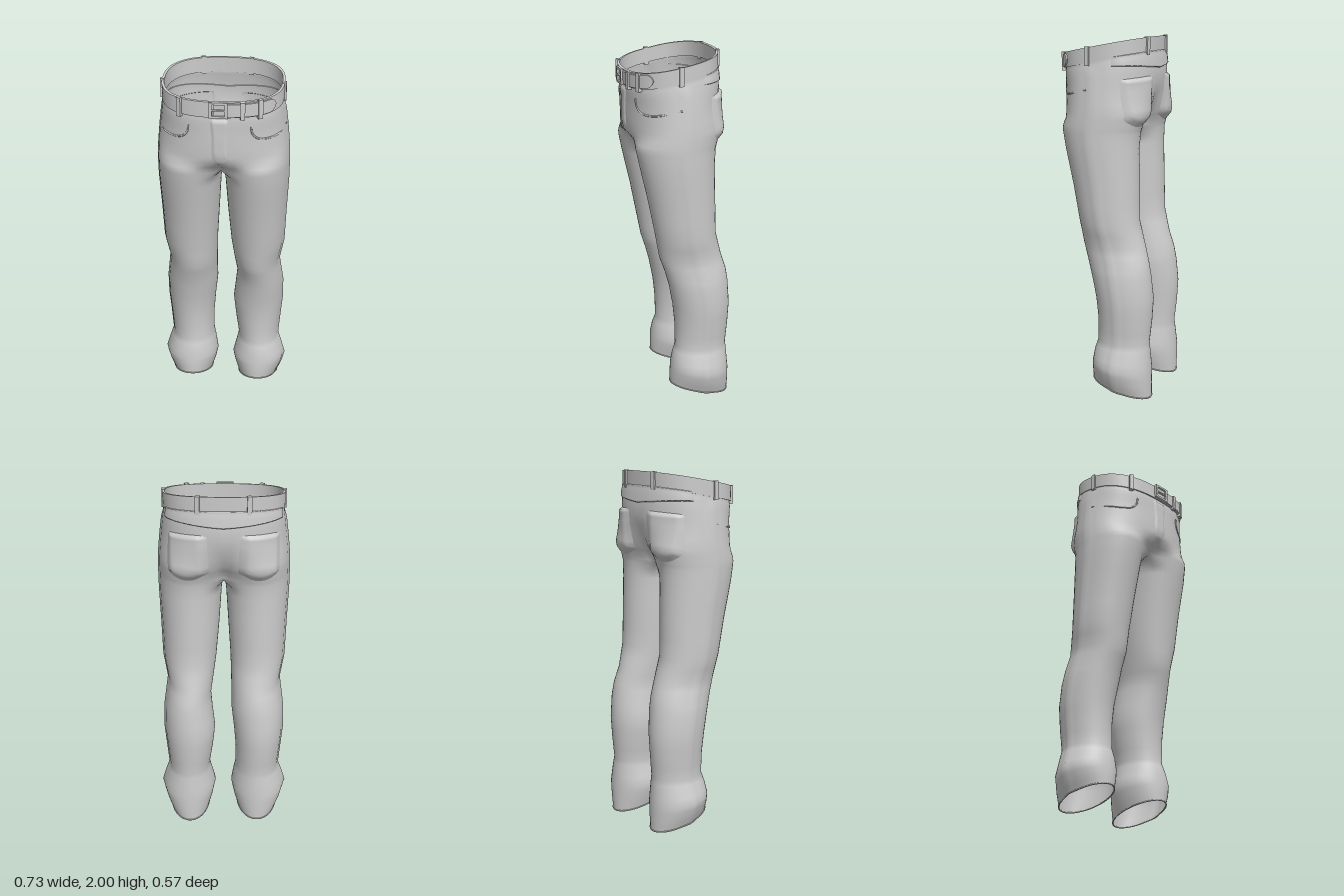
import * as THREE from 'three';
import { mergeGeometries, mergeVertices, toCreasedNormals } from 'three/addons/utils/BufferGeometryUtils.js';

const V = (x, y, z) => new THREE.Vector3(x, y, z);
const mat = new THREE.MeshStandardMaterial({ color: 0xcccccc, side: THREE.DoubleSide, roughness: 0.9 });
const sp = (v, e) => Math.sign(v) * Math.abs(v) ** e; // e < 1 squares an ellipse
const ramp = THREE.MathUtils.smoothstep;
const lerp = THREE.MathUtils.lerp;

const CROTCH = 1.49;
const A = 0.87; // angle where the outer arc meets the inner leg arc
// Cross-sections: y, inner x (left leg), inner x (right leg), outer x, front z, back z
const ROWS = [
  [1.95, 0, 0, 0.315, 0.26, -0.225],
  [1.865, 0, 0, 0.32, 0.26, -0.228],
  [1.84, 0, 0, 0.324, 0.262, -0.233],
  [1.78, 0, 0, 0.332, 0.262, -0.243],
  [1.7, 0, 0, 0.342, 0.263, -0.245],
  [1.6, 0, 0, 0.352, 0.262, -0.24],
  [1.53, 0, 0, 0.355, 0.252, -0.208],
  [CROTCH, 0, 0, 0.355, 0.243, -0.195],
  [1.4, 0.012, 0.012, 0.354, 0.225, -0.19],
  [1.2, 0.025, 0.025, 0.345, 0.18, -0.195],
  [1.0, 0.042, 0.038, 0.338, 0.142, -0.2],
  [0.87, 0.06, 0.042, 0.314, 0.12, -0.235],
  [0.78, 0.073, 0.045, 0.326, 0.09, -0.262],
  [0.7, 0.065, 0.045, 0.337, 0.068, -0.275],
  [0.57, 0.05, 0.06, 0.338, 0.042, -0.286],
  [0.45, 0.063, 0.07, 0.327, 0.03, -0.28],
  [0.32, 0.083, 0.07, 0.316, 0.03, -0.268],
  [0.26, 0.07, 0.058, 0.336, 0.048, -0.274],
  [0.18, 0.05, 0.046, 0.359, 0.058, -0.282],
  [0.11, 0.065, 0.06, 0.341, 0.062, -0.284],
  [0.045, 0.085, 0.08, 0.314, 0.062, -0.284],
];

function section(y) {
  let i = 0;
  while (i < ROWS.length - 2 && ROWS[i + 1][0] > y) i++;
  const k = (ROWS[i][0] - y) / (ROWS[i][0] - ROWS[i + 1][0]);
  return ROWS[i].map((v, c) => lerp(v, ROWS[i + 1][c], k));
}

// Cloth surface of one half: u 0..1 runs front - outside - back, 1..2 runs along the inner leg
function cloth(u, y, s) {
  const r = section(y);
  const xi = s > 0 ? r[1] : r[2], xo = r[3];
  const cx = (xi + xo) / 2, rx = (xo - xi) / 2, cz = (r[4] + r[5]) / 2, rz = (r[4] - r[5]) / 2;
  const outer = u <= 1;
  const t = Math.PI * u;
  const q = outer ? -A + (Math.PI + 2 * A) * u : Math.PI + A + (Math.PI - 2 * A) * (u - 1);
  let x = cx + rx * Math.sin(q), z = cz + rz * Math.cos(q), h = y;
  if (outer) {
    const w = 1 - ramp(y, CROTCH, 1.57 + 0.1 * (1 - Math.cos(t)));
    const e = lerp(0.9, 0.8, ramp(y, 1.7, 1.86));
    x = lerp(xo * sp(Math.sin(t), e), x, w);
    z = lerp(cz + rz * sp(Math.cos(t), e), z, w);
    const k = Math.max(0, 1 - Math.min(u, 1 - u) / 0.1);
    if (y >= CROTCH) x -= k * w * (cx - rx * Math.sin(A));
    x += 0.007 * Math.max(0, 1 - Math.abs(u - 0.5) / 0.03) * (1 - ramp(y, 1.8, 1.86)); // side seam ridge
  } else if (y >= CROTCH) {
    x = 0;
    h -= 0.02 * Math.sin(Math.PI * (u - 1));
  }
  const hem = 1 - ramp(y, 0.04, 0.3);
  h -= 0.19 * (z - 0.02) * ramp(y, 1.62, 1.86); // waist rises at the back
  h += (0.25 * (z + 0.11) + (s < 0 ? 0.012 : 0)) * hem; // hem drops at the back
  return V(s * x, h, z);
}

// Cloth followed right around the body: 0 front centre, 0.5 left, 1 back centre, 1.5 right
const around = (v, y) => (v < 0 ? cloth(-v, y, -1) : v > 1 ? cloth(2 - v, y, -1) : cloth(v, y, 1));

function grid(point, rows, cols, flip = false) {
  const pos = [], idx = [];
  for (let i = 0; i <= rows; i++) for (let j = 0; j <= cols; j++) pos.push(...point(i, j).toArray());
  for (let i = 0; i < rows; i++) for (let j = 0; j < cols; j++) {
    const a = i * (cols + 1) + j, b = a + cols + 1;
    idx.push(...(flip ? [a, b + 1, b, a, a + 1, b + 1] : [a, b, b + 1, a, b + 1, a + 1]));
  }
  const g = new THREE.BufferGeometry();
  g.setAttribute('position', new THREE.Float32BufferAttribute(pos, 3));
  g.setIndex(idx);
  return g;
}

// Raised cloth patch with soft edges; low(k) shapes its bottom edge
function patch(v0, v1, top, low, thick, softness) {
  const n = 20, e = 0.004;
  const g = grid((i, j) => {
    const v = lerp(v0, v1, j / n), y = lerp(top, low(j / n), i / n);
    const dv = around(v + e, y).sub(around(v - e, y));
    const dy = around(v, y - e).sub(around(v, y + e));
    const rise = Math.min(1, i, (n - i) / softness, j / softness, (n - j) / softness);
    return around(v, y).addScaledVector(dy.cross(dv).normalize(), lerp(-0.004, thick, rise));
  }, n, n);
  g.computeVertexNormals();
  return g;
}

const piping = (points, radius, closed = false) =>
  new THREE.TubeGeometry(new THREE.CatmullRomCurve3(points, closed), 60, radius, 6, closed);

// Waist outline and the belt strips that follow it
const waist = (t, y, off) => {
  const z = 0.0175 + (0.2425 + off) * sp(Math.cos(t), 0.8);
  return V((0.315 + off) * sp(Math.sin(t), 0.8), y - 0.19 * (z - 0.02), z);
};
function strip(t0, t1, half, inner, outer, n) {
  const g = grid((i, j) => {
    const k = j / n, h = half(k);
    const up = i % 4 === 0 || i === 3, out = i % 4 < 2;
    return waist(lerp(t0, t1, k), 1.91 + (up ? h : -h), out ? outer : inner);
  }, 4, n);
  return toCreasedNormals(g, 0.6);
}

export function createModel() {
  const model = new THREE.Group();
  const add = (name, geometry) => {
    const m = new THREE.Mesh(geometry, mat);
    m.name = name;
    model.add(m);
    return m;
  };

  // Trouser body: both halves welded along the centre seam
  const ys = [];
  ROWS.forEach((r, i) => {
    ys.push(r[0]);
    if (i < ROWS.length - 1) ys.push(lerp(r[0], ROWS[i + 1][0], 0.5));
  });
  const legYs = ys.filter((y) => y <= CROTCH);
  const parts = [];
  for (const s of [1, -1]) {
    parts.push(grid((i, j) => cloth(j / 32, ys[i], s), ys.length - 1, 32, s < 0));
    parts.push(grid((i, j) => cloth(j === 0 ? 1 : 1 + j / 12, legYs[i], s), legYs.length - 1, 12, s < 0));
  }
  const body = mergeVertices(mergeGeometries(parts), 1e-4);
  body.computeVertexNormals();
  add('trouserBody', body);

  // Fly panel with a rounded end, and the yoke fold dipping at the back centre
  add('flyPanel', patch(-0.035, 0.035, 1.86, (k) => 1.53 + 0.07 * (2 * k - 1) ** 2, 0.007, 5));
  add('backYoke', patch(0.6, 1.4, 1.88, (k) => 1.79 + 0.04 * Math.abs(2 * k - 1), 0.009, 1));

  // Broad, soft back pockets with blunt pointed bottoms
  const pocketLow = (k) => 1.52 + 0.05 * (2 * k - 1) ** 2;
  add('leftBackPocket', patch(0.67, 0.94, 1.765, pocketLow, 0.017, 4));
  add('rightBackPocket', patch(1.06, 1.33, 1.765, pocketLow, 0.017, 4));

  for (const s of [1, -1]) {
    const side = s > 0 ? 'left' : 'right';
    // Front pocket opening
    const opening = [[0.14, 1.81], [0.15, 1.76], [0.18, 1.72], [0.24, 1.705], [0.33, 1.71], [0.47, 1.73]];
    add(side + 'FrontPocketEdge', piping(opening.map(([u, y]) => cloth(u, y, s)), 0.005));
    // Hem
    const hem = [];
    for (let j = 0; j < 32; j++) hem.push(cloth(j / 16, 0.045, s));
    add(side + 'Hem', piping(hem, 0.004, true));
  }

  // Belt with its overlapping rounded tail
  add('belt', strip(0, Math.PI * 2, () => 0.041, -0.004, 0.009, 72));
  add('beltTail', strip(-0.05, 0.98, (k) => 0.034 * Math.min(1, Math.sqrt((1 - k) * 8)), 0.007, 0.017, 30));

  // Belt loops and keeper
  const loop = (name, degrees, height, off) => {
    const t = THREE.MathUtils.degToRad(degrees);
    const d = waist(t + 0.05, 0, 0).sub(waist(t - 0.05, 0, 0));
    const m = add(name, new THREE.BoxGeometry(0.024, height, 0.022));
    m.position.copy(waist(t, 1.906, off));
    m.rotation.y = Math.atan2(-d.z, d.x);
  };
  for (const s of [1, -1]) {
    loop('frontBeltLoop', s * 34.5, 0.1, 0.012);
    loop('sideBeltLoop', s * 87, 0.1, 0.007);
    loop('backBeltLoop', s * 161, 0.096, 0.007);
  }
  loop('beltKeeper', 16.5, 0.09, 0.014);

  // Buckle frame with prong
  const frame = new THREE.Shape();
  frame.moveTo(-0.05, -0.042).lineTo(0.045, -0.042).lineTo(0.045, 0.042).lineTo(-0.05, 0.042).closePath();
  const hole = new THREE.Path();
  hole.moveTo(-0.036, -0.03).lineTo(-0.036, 0.03).lineTo(0.031, 0.03).lineTo(0.031, -0.03).closePath();
  frame.holes.push(hole);
  const buckle = add('buckleFrame', new THREE.ExtrudeGeometry(frame, { depth: 0.014, bevelEnabled: false }));
  buckle.position.set(0, 1.865, 0.273);
  const prong = add('buckleProng', new THREE.BoxGeometry(0.075, 0.008, 0.01));
  prong.position.set(-0.005, 1.865, 0.282);

  return model;
}
